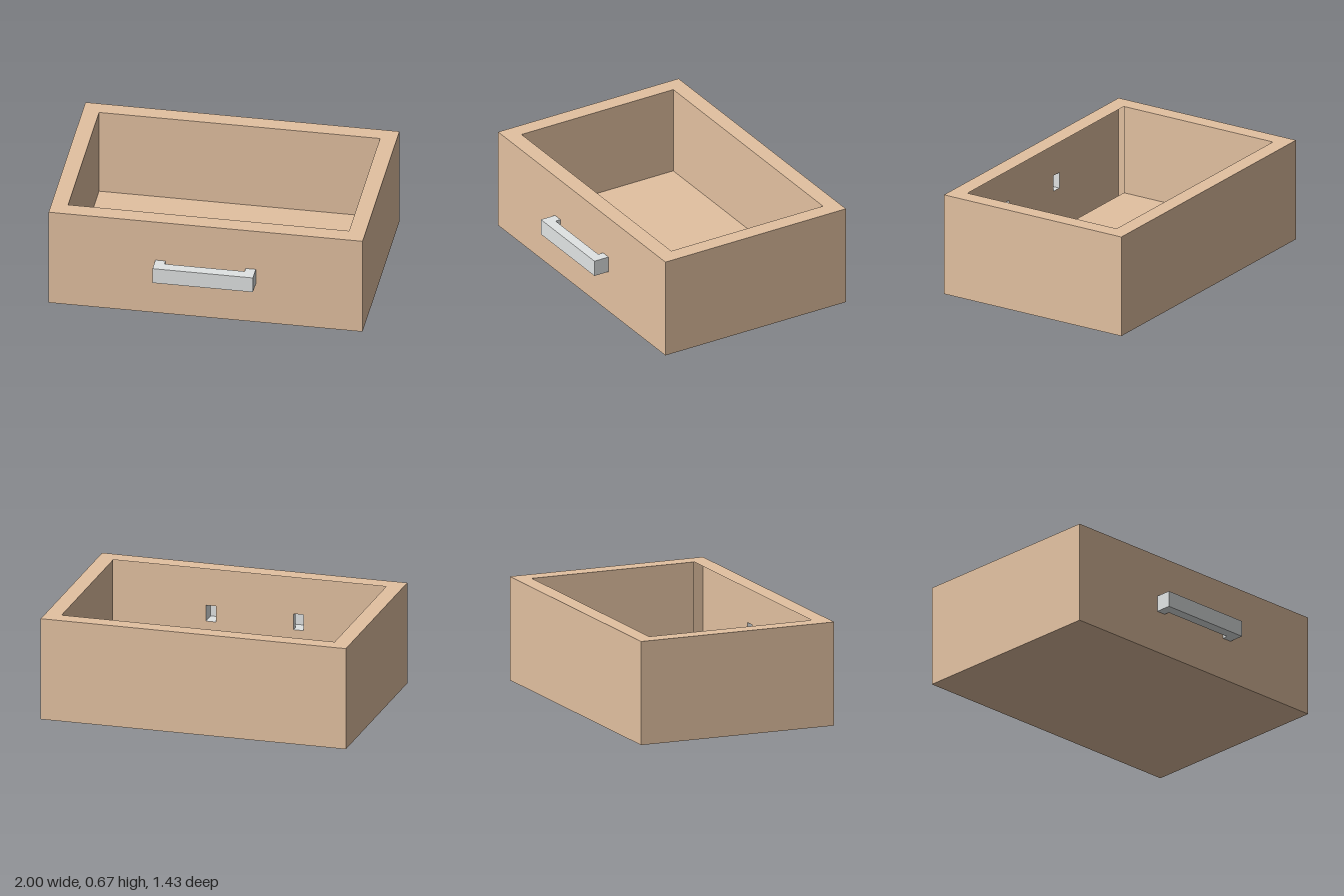
import * as THREE from 'three';

const H = 0.667, BACK = -0.717, FRONT = 0.613;
const IN_X = 0.895, IN_BACK = -0.613, IN_FRONT = 0.505, FLOOR = 0.086;
const HANDLE = { outer: 0.32, inner: 0.255, bottom: 0.282, top: 0.387, reach: 0.104, gap: 0.036 };

function polygon(points, Type = THREE.Shape) {
  return new Type(points.map(([x, y]) => new THREE.Vector2(x, y)));
}

function rect(x0, y0, x1, y1, Type) {
  return polygon([[x0, y0], [x1, y0], [x1, y1], [x0, y1]], Type);
}

// Drops the triangles lying on y = 0 of the profile, leaving the legs open
function openEnds(geometry) {
  const p = geometry.getAttribute('position');
  const kept = [];
  for (let i = 0; i < p.count; i += 3) {
    const onEnd = [0, 1, 2].every(k => Math.abs(p.getY(i + k)) < 1e-6);
    if (onEnd) continue;
    for (let k = 0; k < 3; k++) kept.push(p.getX(i + k), p.getY(i + k), p.getZ(i + k));
  }
  const open = new THREE.BufferGeometry();
  open.setAttribute('position', new THREE.Float32BufferAttribute(kept, 3));
  open.computeVertexNormals();
  return open;
}

export function createModel() {
  const group = new THREE.Group();
  const wood = new THREE.MeshStandardMaterial({ color: 0xe3c1a1, side: THREE.DoubleSide });
  wood.name = 'light wood';
  const metal = new THREE.MeshStandardMaterial({ color: 0xe1e4e4, side: THREE.DoubleSide });
  metal.name = 'pale metal';

  function add(name, geometry, material) {
    const mesh = new THREE.Mesh(geometry, material);
    mesh.name = name;
    group.add(mesh);
  }

  // Flat panels: upright facing front or back, upright facing sideways, and level
  function facing(name, shape, z, turn = 0) {
    add(name, new THREE.ShapeGeometry(shape).rotateY(turn).translate(0, 0, z), wood);
  }
  function sideways(name, z0, z1, y0, x, dir) {
    const shape = rect(-dir * z0, y0, -dir * z1, H);
    add(name, new THREE.ShapeGeometry(shape).rotateY(dir * Math.PI / 2).translate(x, 0, 0), wood);
  }
  function level(name, shape, y, dir = 1) {
    add(name, new THREE.ShapeGeometry(shape).rotateX(-dir * Math.PI / 2).translate(0, y, 0), wood);
  }

  // Outer front, open where the handle legs join it
  const front = rect(-1, 0, 1, H);
  for (const [x0, x1] of [[-HANDLE.outer, -HANDLE.inner], [HANDLE.inner, HANDLE.outer]]) {
    front.holes.push(rect(x0, HANDLE.bottom, x1, HANDLE.top, THREE.Path));
  }
  facing('frontWall', front, FRONT);

  // Outer and inner faces of the back and sides
  facing('backWallOutside', rect(-1, 0, 1, H), BACK, Math.PI);
  facing('backWallInside', rect(-IN_X, FLOOR, IN_X, H), IN_BACK);
  for (const side of [-1, 1]) {
    const label = side > 0 ? 'left' : 'right';
    sideways(label + 'WallOutside', BACK, FRONT, 0, side, side);
    sideways(label + 'WallInside', IN_BACK, IN_FRONT, FLOOR, side * IN_X, -side);
  }

  // Underside, raised floor and the wide rim around the opening
  level('underside', rect(-1, BACK, 1, FRONT), 0, -1);
  level('floor', rect(-IN_X, -IN_FRONT, IN_X, -IN_BACK), FLOOR);
  const rim = rect(-1, -FRONT, 1, -BACK);
  rim.holes.push(rect(-IN_X, -IN_FRONT, IN_X, -IN_BACK, THREE.Path));
  level('rim', rim, H);

  // Hollow U-shaped handle
  const { outer, inner, reach, gap, bottom, top } = HANDLE;
  const profile = polygon([
    [-outer, 0], [-inner, 0], [-inner, gap], [inner, gap],
    [inner, 0], [outer, 0], [outer, reach], [-outer, reach],
  ]);
  const tube = new THREE.ExtrudeGeometry(profile, { depth: top - bottom, bevelEnabled: false });
  add('handle', openEnds(tube).rotateX(Math.PI / 2).translate(0, top, FRONT), metal);

  return group;
}
